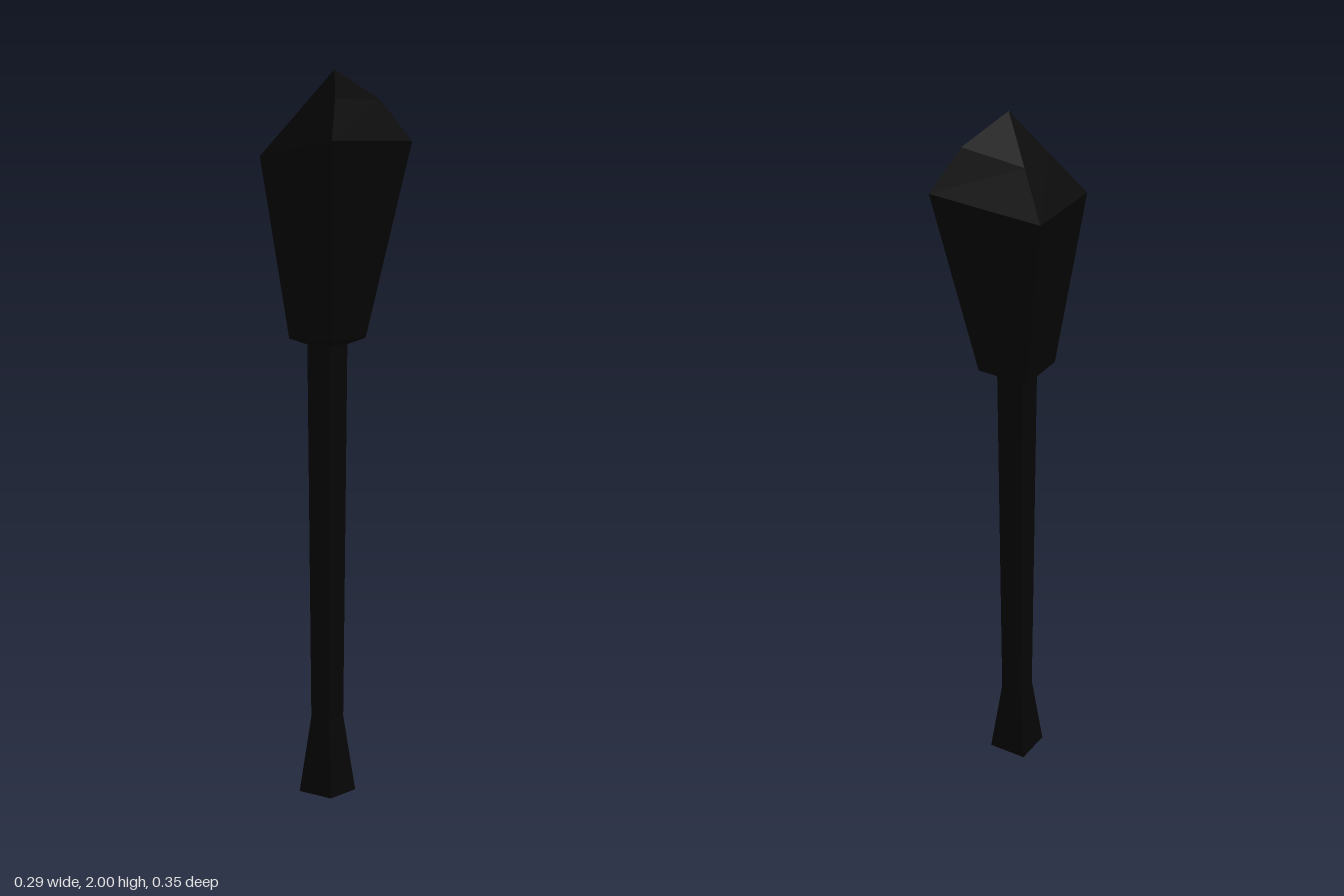
import * as THREE from 'three';

// Ring of four corners: x and half depth (and height) may differ between the -x and +x side.
const ring = (xBack, xFront, zBack, zFront, yBack, yFront = yBack) => [
  [xFront, yFront, zFront], [xFront, yFront, -zFront],
  [xBack, yBack, -zBack], [xBack, yBack, zBack],
];

// Closed four-sided loft through rings listed from bottom to top.
function loft(rings) {
  const pos = [];
  const quad = (a, b, c, d) => pos.push(...a, ...b, ...c, ...a, ...c, ...d);
  for (let r = 0; r < rings.length - 1; r++) {
    const lo = rings[r], hi = rings[r + 1];
    for (let i = 0; i < 4; i++) {
      const j = (i + 1) % 4;
      quad(lo[i], lo[j], hi[j], hi[i]);
    }
  }
  const bottom = rings[0], top = rings[rings.length - 1];
  quad(bottom[3], bottom[2], bottom[1], bottom[0]);
  quad(top[0], top[1], top[2], top[3]);
  const geo = new THREE.BufferGeometry();
  geo.setAttribute('position', new THREE.Float32BufferAttribute(pos, 3));
  geo.computeVertexNormals();
  return geo;
}

export function createModel() {
  const group = new THREE.Group();
  const black = new THREE.MeshStandardMaterial({ color: 0x050505, flatShading: true });
  const add = (name, rings) => {
    const mesh = new THREE.Mesh(loft(rings), black);
    mesh.name = name;
    group.add(mesh);
  };

  // Slim square shaft with a flared foot
  add('handle', [
    ring(-0.064, 0.048, 0.055, 0.055, 0),
    ring(-0.04, 0.023, 0.032, 0.032, 0.215),
    ring(-0.047, 0.031, 0.039, 0.039, 1.27),
  ]);

  // Tapered head: narrow collar, widening body, faceted point leaning to +x
  add('head', [
    ring(-0.047, 0.031, 0.039, 0.039, 1.26),
    ring(-0.082, 0.067, 0.074, 0.074, 1.277),
    ring(-0.147, 0.147, 0.118, 0.175, 1.77, 1.81),
    ring(-0.065, 0.097, 0.059, 0.098, 1.885, 1.92),
    ring(0.017, 0.017, 0.0005, 0.0005, 2),
  ]);

  return group;
}
